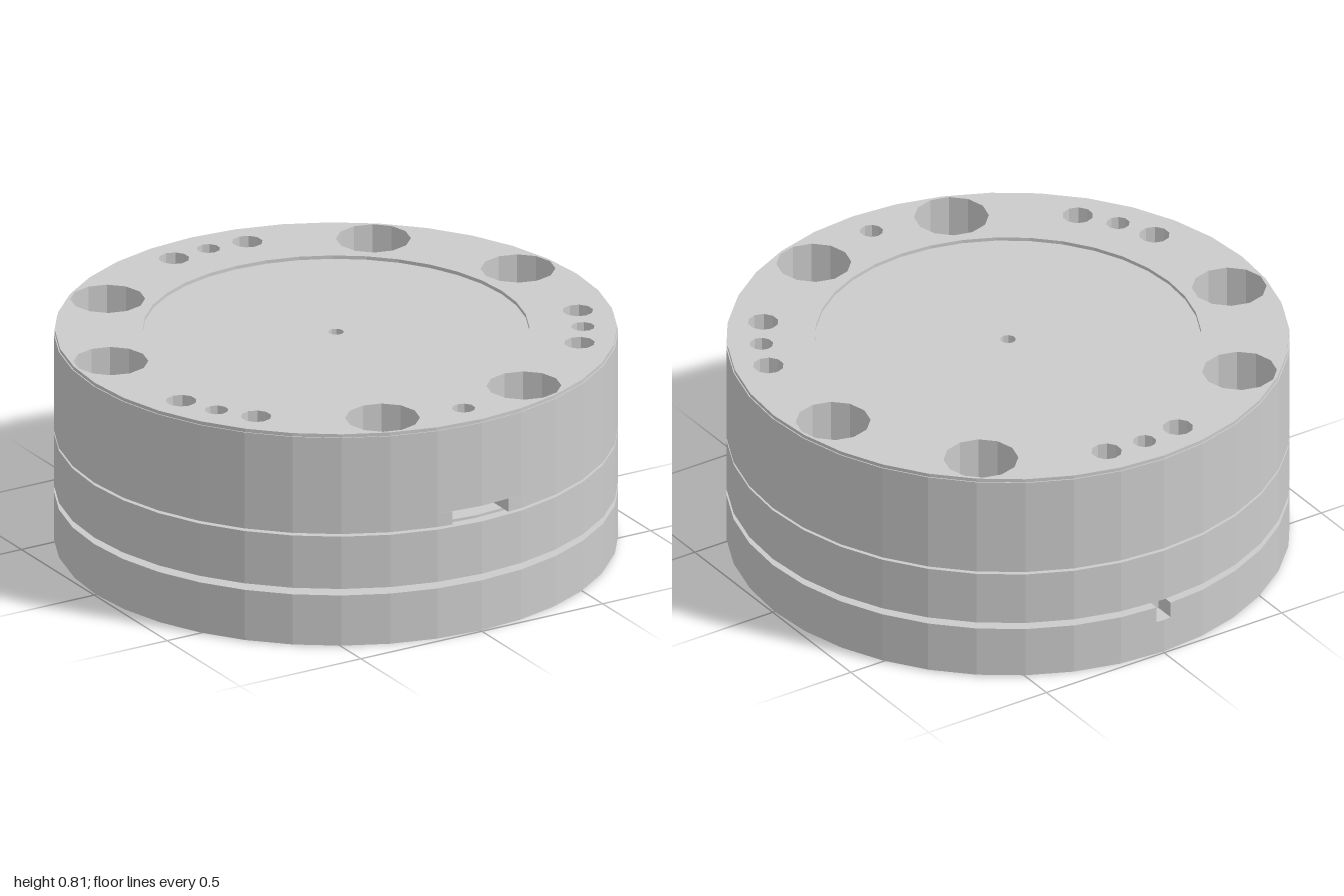
import * as THREE from 'three';

const SIDES = 36;
const grey = new THREE.MeshStandardMaterial({ color: 0xcccccc, flatShading: true });
const greyBoth = new THREE.MeshStandardMaterial({ color: 0xcccccc, flatShading: true, side: THREE.DoubleSide });

// Point on a circle; the angle is in degrees, measured from +z towards +x
const polar = (r, deg) => {
  const a = THREE.MathUtils.degToRad(deg);
  return new THREE.Vector2(r * Math.sin(a), r * Math.cos(a));
};

// Polygon of a round hole or disc
const ring = (r, c = new THREE.Vector2(), n = 10) =>
  Array.from({ length: n }, (_, i) => polar(r, (i * 360) / n).add(c));

// Unit disc outline with a rectangular notch at the front (dir 1) or back (dir -1)
function notchedDisc(dir, halfWidth, depth) {
  const pts = ring(1, undefined, SIDES).filter((p) => p.y < 0 || Math.abs(p.x) > halfWidth);
  const rim = Math.sqrt(1 - halfWidth * halfWidth) * 0.998;
  for (const [x, z] of [[-halfWidth, rim], [-halfWidth, 1 - depth], [halfWidth, 1 - depth], [halfWidth, rim]]) {
    pts.push(new THREE.Vector2(x, z));
  }
  return pts.map((p) => p.multiplyScalar(dir));
}

// Flat layer from y0 to y1 with holes cut through it; holes wind against the outline
function layer(name, outline, holes, y0, y1) {
  const shape = new THREE.Shape(outline);
  for (const h of holes) shape.holes.push(new THREE.Path([...h].reverse()));
  const geo = new THREE.ExtrudeGeometry(shape, { depth: y1 - y0, bevelEnabled: false });
  geo.rotateX(Math.PI / 2);
  geo.translate(0, y1, 0);
  const mesh = new THREE.Mesh(geo, grey);
  mesh.name = name;
  return mesh;
}

function cylinder(name, r, y0, y1, sides = SIDES) {
  const mesh = new THREE.Mesh(new THREE.CylinderGeometry(r, r, y1 - y0, sides), grey);
  mesh.position.y = (y0 + y1) / 2;
  mesh.name = name;
  return mesh;
}

// Pairs of angles either side of three evenly spaced directions
const pairs = (start, half) => [0, 120, 240].flatMap((a) => [start + a - half, start + a + half]);

function buildTop() {
  const group = new THREE.Group();
  group.name = 'topHousing';
  const boltSpots = pairs(0, 20).map((a) => polar(0.855, a));
  const counterbores = boltSpots.map((c) => ring(0.133, c, 12));
  const plain = pairs(60, 10).map((a) => ring(0.055, polar(0.873, a)));
  const pitSpots = [0, 60, 180, 300].map((a) => polar(0.875, a));
  const pits = pitSpots.map((c) => ring(0.042, c));
  const disc = ring(1, undefined, SIDES);

  group.add(layer('topRim', ring(0.996, undefined, SIDES),
    [ring(0.685, undefined, SIDES), ...counterbores, ...plain, ...pits], 0.797, 0.81));
  group.add(layer('topBody', disc, [ring(0.028), ...counterbores, ...plain, ...pits], 0.5, 0.797));
  group.add(layer('boltSeat', disc, boltSpots.map((c) => ring(0.068, c)), 0.48, 0.5));
  group.add(layer('slottedSkirt', notchedDisc(1, 0.115, 0.12), boltSpots.map((c) => ring(0.05, c)), 0.43, 0.48));

  // Conical ends of the small drilled holes
  for (const c of pitSpots) {
    const cone = new THREE.Mesh(new THREE.ConeGeometry(0.042, 0.03, 10, 1, true), greyBoth);
    cone.rotation.x = Math.PI;
    cone.position.set(c.x, 0.68, c.y);
    cone.name = 'drilledHoleEnd';
    group.add(cone);
  }
  return group;
}

function buildBottom() {
  const group = new THREE.Group();
  group.name = 'bottomPlate';
  const boltAngles = pairs(0, 18.5);
  const R = 0.54, r = 0.13;
  const boltSpots = boltAngles.map((a) => polar(R, a));
  const counterbores = boltSpots.map((c) => ring(r, c));
  const small = Array.from({ length: 9 }, (_, i) => ring(0.04, polar(0.62, i * 40)));
  small.push(ring(0.04, polar(0.89, 0)));
  const centre = ring(0.15, undefined, 16);

  // Shallow round recess, joined with the bolt holes that cross its edge
  const recess = Array.from({ length: 144 }, (_, i) => {
    const deg = i * 2.5;
    let reach = 0.5;
    for (const b of boltAngles) {
      const d = THREE.MathUtils.degToRad(deg - b);
      const inside = r * r - (R * Math.sin(d)) ** 2;
      if (inside > 0 && Math.cos(d) > 0) reach = Math.max(reach, R * Math.cos(d) + Math.sqrt(inside));
    }
    return polar(reach, deg);
  });

  const disc = ring(1, undefined, SIDES);
  group.add(layer('bottomFace', ring(0.992, undefined, SIDES), [recess, ...small], 0, 0.012));
  group.add(layer('bottomBody', disc, [centre, ...counterbores, ...small], 0.012, 0.135));
  group.add(layer('notchedTop', notchedDisc(-1, 0.03, 0.08),
    [centre, ...boltSpots.map((c) => ring(0.06, c))], 0.135, 0.195));
  return group;
}

export function createModel() {
  const model = new THREE.Group();
  model.name = 'flangeCoupling';
  model.add(buildBottom());
  model.add(cylinder('lowerSpacer', 0.65, 0.195, 0.22, 12));
  model.add(cylinder('middleDisc', 1, 0.22, 0.42));
  model.add(cylinder('upperSpacer', 0.96, 0.42, 0.43));
  model.add(buildTop());
  return model;
}
